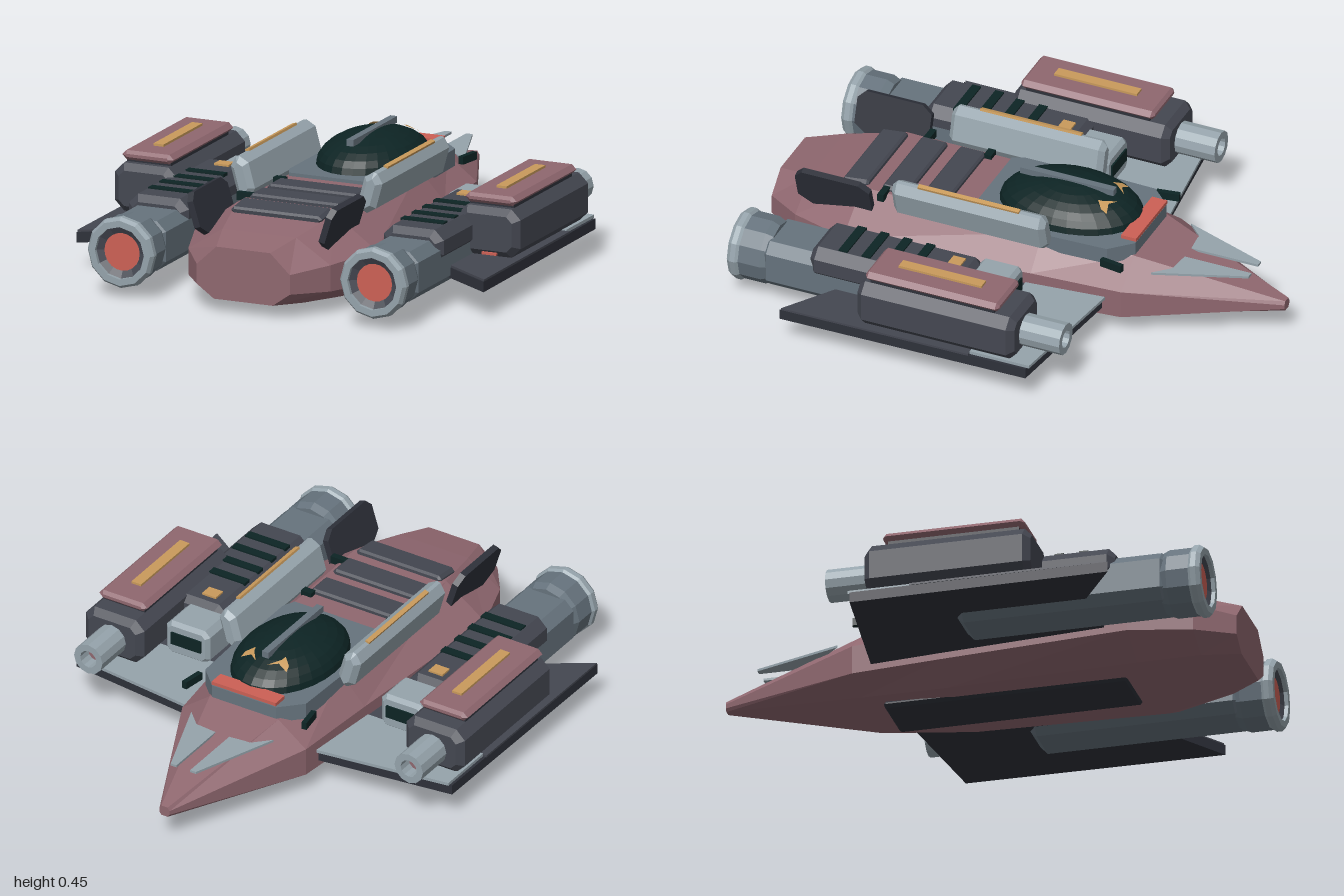
import * as THREE from 'three';

const mat = (name, color, side = THREE.FrontSide) => {
  const m = new THREE.MeshStandardMaterial({ color, side });
  m.name = name;
  return m;
};

export function createModel() {
  const root = new THREE.Group();
  root.name = 'starfighter';
  const M = {
    hull: mat('dusty rose', 0x8f676f),
    dark: mat('charcoal', 0x444751),
    grey: mat('slate grey', 0x66737d),
    light: mat('pale grey', 0x95a3ab),
    glass: mat('dark green glass', 0x0d2424),
    red: mat('coral', 0xcc6055),
    gold: mat('amber', 0xc99a5b, THREE.DoubleSide),
    black: mat('near black', 0x2e313a),
  };

  const add = (parent, name, geo, material, x = 0, y = 0, z = 0) => {
    const m = new THREE.Mesh(geo, material);
    m.name = name;
    m.position.set(x, y, z);
    parent.add(m);
    return m;
  };
  const flat = (g) => {
    const f = g.index ? g.toNonIndexed() : g;
    f.computeVertexNormals();
    return f;
  };
  const box = (w, h, d) => new THREE.BoxGeometry(w, h, d);
  const outline = (pts) => new THREE.Shape(pts.map(([x, y]) => new THREE.Vector2(x, y)));

  // Box with every edge cut by c, centred on its origin
  const chamfer = (w, h, d, c) => {
    const a = w / 2, b = h / 2, k = c * 1.5;
    const s = outline([[a - k, -b], [a, -b + k], [a, b - k], [a - k, b],
      [-a + k, b], [-a, b - k], [-a, -b + k], [-a + k, -b]]);
    const g = new THREE.ExtrudeGeometry(s, {
      depth: d - 2 * c, bevelEnabled: true, bevelThickness: c, bevelSize: c, bevelOffset: -c, bevelSegments: 1,
    });
    return g.translate(0, 0, -d / 2 + c);
  };
  // Horizontal plate from [x, z] points, rising h from its origin
  const plate = (pts, h) => new THREE.ExtrudeGeometry(
    outline(pts.map(([x, z]) => [x, -z])), { depth: h, bevelEnabled: false }).rotateX(-Math.PI / 2);
  // Lathe along z from [radius, z] points
  const turned = (pts, n) => flat(new THREE.LatheGeometry(
    pts.map(([r, z]) => new THREE.Vector2(r, z)), n).rotateX(Math.PI / 2));

  // Hull: octagonal sections [z, top, side, bottom half widths, y bottom, low, high, top]
  const sections = [
    [-1, 0.014, 0.022, 0.014, 0.105, 0.116, 0.132, 0.145],
    [-0.45, 0.15, 0.27, 0.16, 0.03, 0.08, 0.19, 0.28],
    [-0.1, 0.2, 0.305, 0.2, 0.01, 0.08, 0.2, 0.315],
    [0.63, 0.2, 0.37, 0.23, 0.01, 0.08, 0.2, 0.32],
    [0.86, 0.15, 0.29, 0.18, 0.035, 0.09, 0.19, 0.28],
    [1, 0.11, 0.19, 0.12, 0.05, 0.1, 0.175, 0.25],
  ];
  const pos = [], idx = [];
  for (const [z, t, s, b, y0, y1, y2, y3] of sections) {
    for (const [x, y] of [[b, y0], [s, y1], [s, y2], [t, y3], [-t, y3], [-s, y2], [-s, y1], [-b, y0]]) pos.push(x, y, z);
  }
  const last = (sections.length - 1) * 8;
  for (let r = 0; r < last; r += 8) {
    for (let i = 0; i < 8; i++) {
      const a = r + i, b = r + (i + 1) % 8;
      idx.push(a, b, a + 8, b, b + 8, a + 8);
    }
  }
  for (let i = 1; i < 7; i++) idx.push(0, i + 1, i, last, last + i, last + i + 1);
  const hull = new THREE.BufferGeometry();
  hull.setAttribute('position', new THREE.Float32BufferAttribute(pos, 3));
  hull.setIndex(idx);
  add(root, 'hull', flat(hull), M.hull);
  add(root, 'bellyPlate', chamfer(0.24, 0.03, 0.93, 0.008), M.black, 0, 0.015, 0.095);

  // Cockpit
  add(root, 'cockpitDeck', plate([[-0.14, -0.45], [0.14, -0.45], [0.22, -0.37], [0.235, 0.1],
    [0.19, 0.2], [-0.19, 0.2], [-0.235, 0.1], [-0.22, -0.37]], 0.065), M.grey, 0, 0.265, 0);
  add(root, 'canopy', flat(new THREE.SphereGeometry(1, 28, 14).scale(0.195, 0.11, 0.28)), M.glass, 0, 0.33, -0.13);
  add(root, 'canopySpine', box(0.028, 0.025, 0.38), M.grey, 0, 0.434, -0.115);
  add(root, 'nosePanel', box(0.28, 0.014, 0.062), M.red, 0, 0.343, -0.422);

  // Rear deck plates following the hull slope
  for (const [z, y, tilt] of [[0.35, 0.322, 0], [0.505, 0.323, 0], [0.665, 0.318, 0.12]]) {
    add(root, 'deckPlate', chamfer(0.37, 0.03, 0.105, 0.008), M.dark, 0, y, z).rotation.x = tilt;
  }

  for (const s of [1, -1]) {
    const side = new THREE.Group();
    side.name = s > 0 ? 'leftSide' : 'rightSide';
    root.add(side);
    const mx = (pts) => pts.map(([x, z]) => [x * s, z]);

    // Canopy marking, laid on the dome
    const mark = new THREE.ShapeGeometry(outline([[0.025, 0.33], [0.06, 0.305], [0.1, 0.315],
      [0.095, 0.29], [0.065, 0.265], [0.06, 0.285]].map(([x, y]) => [x * s, y]))).rotateX(-Math.PI / 2);
    const p = mark.attributes.position;
    for (let i = 0; i < p.count; i++) {
      const u = p.getX(i) / 0.195, v = (p.getZ(i) + 0.13) / 0.28;
      p.setY(i, 0.337 + 0.11 * Math.sqrt(1 - u * u - v * v));
    }
    mark.computeVertexNormals();
    add(side, 'canopyMark', mark, M.gold);

    // Nose vane and small deck fittings
    add(side, 'noseVane', plate(mx([[0.03, -0.87], [0.055, -0.87], [0.18, -0.53], [0.12, -0.59], [0.03, -0.6]]), 0.009),
      M.light, 0, 0.236, 0).rotation.x = 0;
    add(side, 'noseClip', box(0.02, 0.03, 0.09), M.glass, s * 0.255, 0.29, -0.405).rotation.y = -s * 0.15;
    add(side, 'deckClip', box(0.045, 0.03, 0.03), M.glass, s * 0.185, 0.32, 0.285);
    add(side, 'deckClip', box(0.08, 0.03, 0.025), M.glass, s * 0.2, 0.32, 0.538);

    // Leaning shoulder rail with light strip
    const rail = new THREE.Group();
    rail.name = 'shoulderRail';
    rail.position.set(s * 0.26, 0.365, 0.16);
    rail.rotation.z = -s * 0.27;
    side.add(rail);
    add(rail, 'railBody', chamfer(0.075, 0.16, 0.62, 0.02), M.light);
    add(rail, 'railLight', box(0.018, 0.009, 0.41), M.gold, 0, 0.083, 0);

    // Tail fin, swept in side profile
    const fin = new THREE.ExtrudeGeometry(outline([[-0.56, -0.08], [-0.56, 0.06], [-0.6, 0.09],
      [-0.83, 0.09], [-0.86, 0.06], [-0.86, -0.04], [-0.8, -0.08]]), { depth: 0.025, bevelEnabled: false });
    fin.translate(0, 0, -0.0125).rotateY(Math.PI / 2);
    add(side, 'tailFin', fin, M.black, s * 0.265, 0.31, 0).rotation.z = -s * 0.3;

    // Wing with pale leading panel
    add(side, 'wing', plate(mx([[0.24, -0.38], [0.82, -0.31], [0.83, 0.68], [0.62, 0.54], [0.24, 0.54]]), 0.04), M.black, 0, 0.105, 0);
    add(side, 'wingPanel', plate(mx([[0.26, -0.39], [0.81, -0.32], [0.81, -0.08], [0.26, -0.08]]), 0.012), M.light, 0, 0.145, 0);
    add(side, 'wingRearPanel', plate(mx([[0.26, -0.08], [0.825, -0.08], [0.83, 0.675], [0.62, 0.535], [0.26, 0.535]]), 0.008), M.dark, 0, 0.145, 0);

    // Engine nacelle
    const ex = s * 0.515, ey = 0.173;
    add(side, 'nacelle', chamfer(0.235, 0.19, 0.81, 0.025), M.grey, ex, ey, 0.445);
    add(side, 'nacelleCover', chamfer(0.245, 0.13, 0.61, 0.025), M.dark, s * 0.52, 0.24, 0.345);
    add(side, 'intake', chamfer(0.19, 0.14, 0.16, 0.015), M.light, s * 0.47, 0.215, -0.025);
    add(side, 'intakeSlot', box(0.13, 0.05, 0.008), M.glass, s * 0.47, 0.22, -0.108);
    for (let i = 0; i < 4; i++) {
      add(side, 'coolingSlot', box(0.175, 0.012, 0.035), M.glass, s * 0.515, 0.305, 0.247 + i * 0.093);
    }
    add(side, 'coverLight', box(0.06, 0.009, 0.05), M.gold, s * 0.495, 0.308, 0.115);

    // Engine nozzle
    add(side, 'nozzle', turned([[0, 0.82], [0.115, 0.82], [0.128, 0.85], [0.128, 0.95]], 12), M.grey, ex, ey, 0);
    add(side, 'nozzleLip', turned([[0.128, 0.935], [0.136, 0.945], [0.136, 0.965], [0.125, 0.98], [0.1, 0.98], [0.1, 0.94]], 12), M.light, ex, ey, 0);
    add(side, 'nozzleLiner', turned([[0.1, 0.965], [0.07, 0.95], [0, 0.95]], 12), M.dark, ex, ey, 0);
    add(side, 'exhaustGlow', new THREE.CircleGeometry(0.072, 20), M.red, ex, ey, 0.956);

    // Weapon pod with cap and barrel
    const px = s * 0.7;
    add(side, 'pod', chamfer(0.255, 0.185, 0.635, 0.025), M.dark, px, 0.245, 0.06);
    add(side, 'podNeck', box(0.18, 0.03, 0.5), M.black, px, 0.342, 0.08);
    add(side, 'podCap', chamfer(0.21, 0.036, 0.54, 0.012), M.hull, px, 0.364, 0.08);
    add(side, 'podLight', box(0.042, 0.009, 0.335), M.gold, px, 0.388, 0.08);
    add(side, 'podMarker', box(0.06, 0.009, 0.012), s > 0 ? M.red : M.gold, s * 0.715, 0.168, 0.383);
    add(side, 'barrel', turned([[0.035, -0.36], [0.035, -0.42], [0.062, -0.42], [0.062, -0.25]], 12), M.light, px, 0.237, 0);
    add(side, 'barrelBore', new THREE.CircleGeometry(0.036, 12).rotateY(Math.PI), M.hull, px, 0.237, -0.365);
  }
  return root;
}
